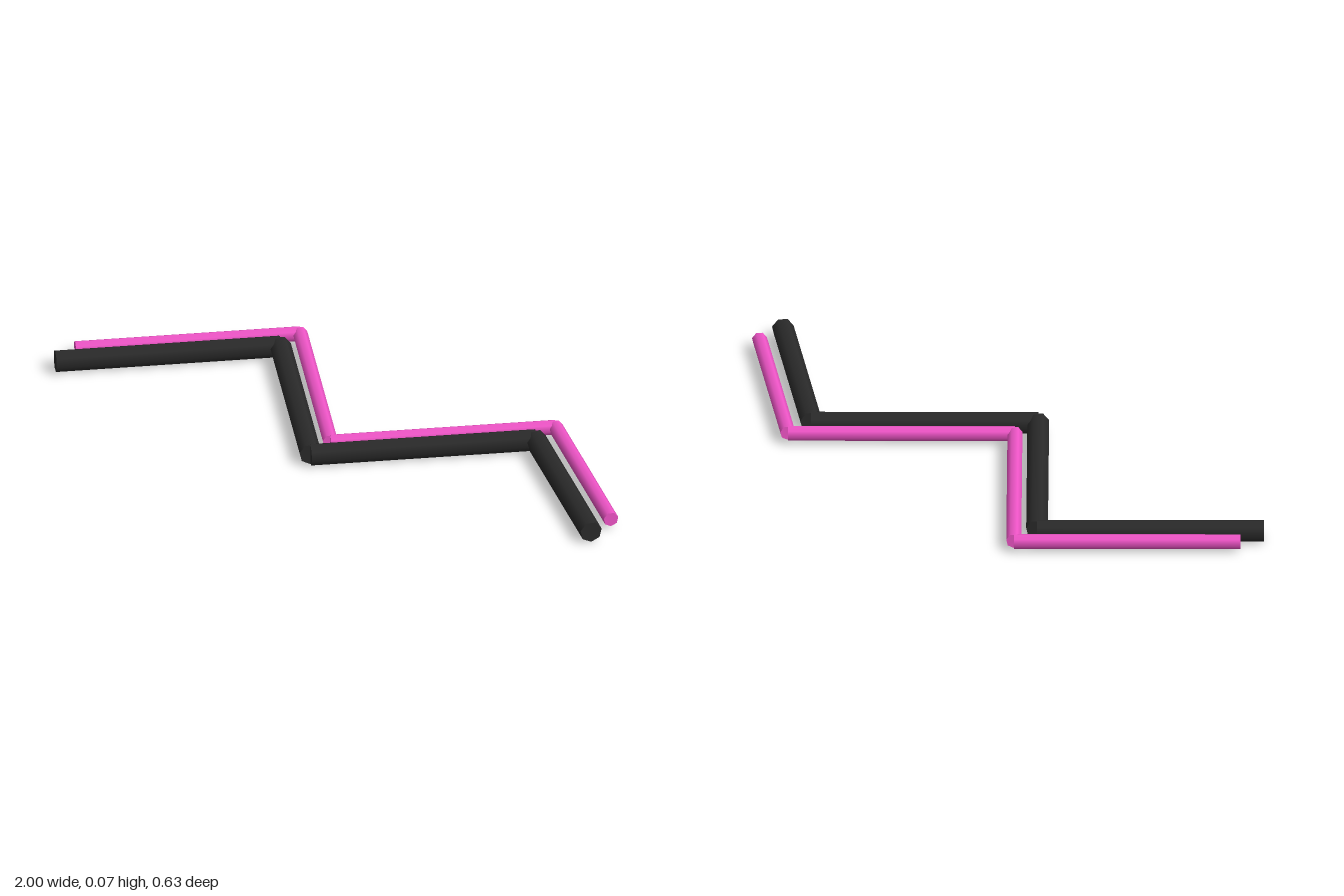
import * as THREE from 'three';

const SIDES = 7;
const HEIGHT = 0.034;

// Straight seven-sided rod lying flat between two [x, z] points
function rod(name, a, b, radius, pointDown, material) {
  const dx = b[0] - a[0], dz = b[1] - a[1];
  const geometry = new THREE.CylinderGeometry(radius, radius, Math.hypot(dx, dz), SIDES);
  geometry.rotateX(-Math.PI / 2);
  if (pointDown) geometry.rotateZ(Math.PI);
  geometry.rotateY(Math.atan2(dx, dz));
  const mesh = new THREE.Mesh(geometry, material);
  mesh.name = name;
  mesh.position.set((a[0] + b[0]) / 2, HEIGHT, (a[1] + b[1]) / 2);
  return mesh;
}

// Chain of rods meeting end to end, alternate rods turned over
function zigzag(name, points, radius, color) {
  const group = new THREE.Group();
  group.name = name;
  const material = new THREE.MeshStandardMaterial({ color });
  for (let i = 0; i < points.length - 1; i++) {
    group.add(rod(`${name}Segment${i + 1}`, points[i], points[i + 1], radius, i % 2 === 1, material));
  }
  return group;
}

export function createModel() {
  const model = new THREE.Group();
  model.name = 'zigzagRods';

  // Thick dark rod in front
  const path = [[-0.977, 0.29], [-0.489, -0.2], [0, 0.29], [0.489, -0.2], [0.978, 0.163]];
  model.add(zigzag('darkRod', path, 0.034, 0x2a2a2a));

  // Thinner pink rod, the same path set further back
  const backPath = path.map(([x, z]) => [x, z - 0.1]);
  model.add(zigzag('pinkRod', backPath, 0.0235, 0xf055c8));

  return model;
}
